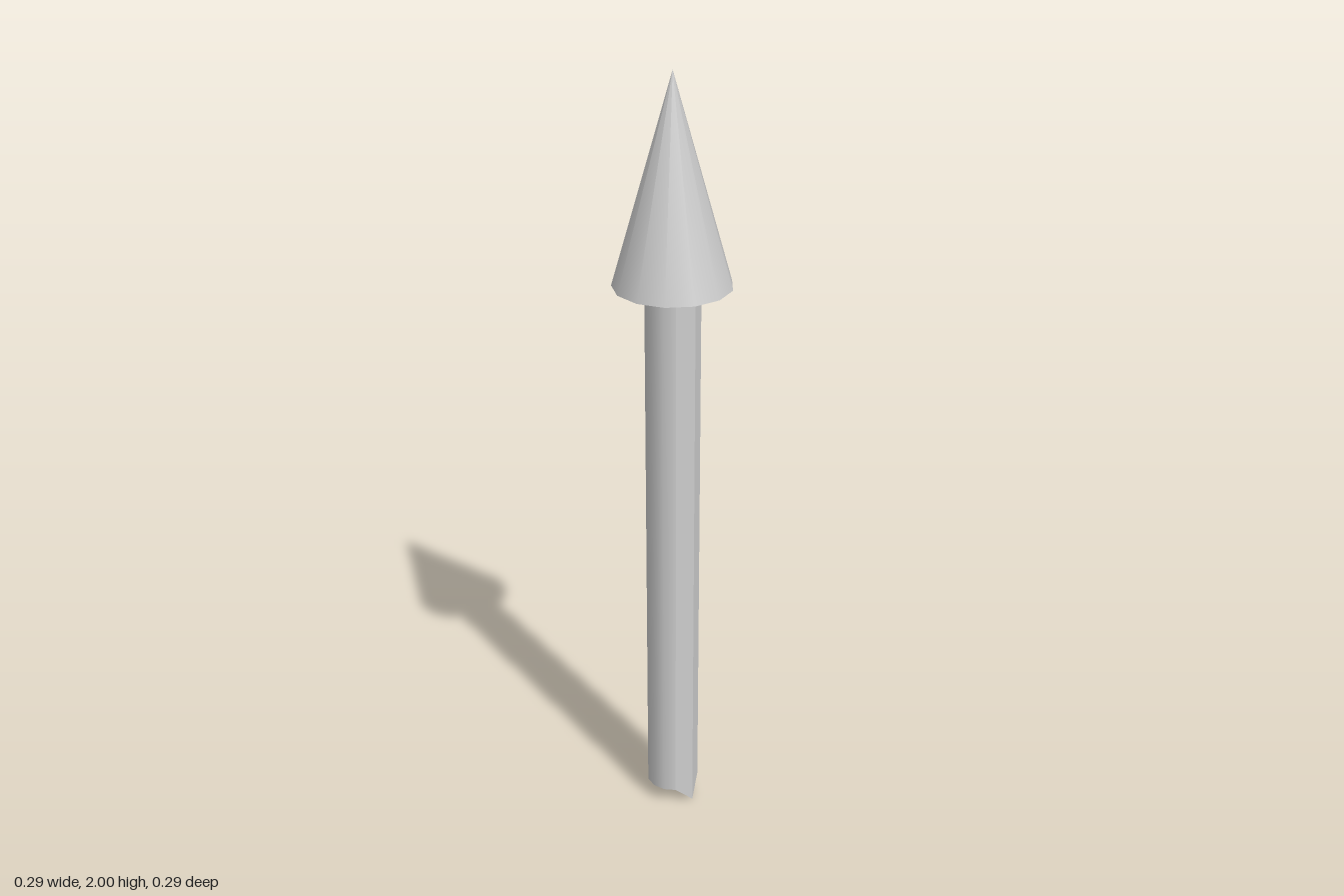
import * as THREE from 'three';

export function createModel() {
  const model = new THREE.Group();
  const r = 0.069, bottom = 0.05, top = 1.49;
  const height = top - bottom, middle = (top + bottom) / 2;

  const add = (name, geometry, y, options = {}) => {
    const material = new THREE.MeshStandardMaterial({ color: 0xcccccc, ...options });
    const mesh = new THREE.Mesh(geometry, material);
    mesh.name = name;
    mesh.position.y = y;
    model.add(mesh);
    return mesh;
  };

  // Pointed head with a closed underside, one corner facing the back
  const head = add('head', new THREE.ConeGeometry(0.146, 2 - top, 13), (2 + top) / 2);
  head.rotation.y = Math.PI;

  // Rounded three quarters of the hollow shaft, open at the bottom
  const round = new THREE.CylinderGeometry(r, r, height, 10, 1, true, Math.PI / 2, Math.PI * 1.5);
  add('shaftRound', round, middle, { side: THREE.DoubleSide });

  // Two flat faces on the front left; their shared corner reaches the ground
  const corner = new THREE.CylinderGeometry(r, r, height, 2, 1, true, 0, Math.PI / 2);
  const p = corner.attributes.position;
  for (let i = 0; i < p.count; i++) {
    if (p.getY(i) < 0 && p.getX(i) > 0.01 && p.getZ(i) > 0.01) p.setY(i, -middle);
  }
  add('shaftCorner', corner, middle, { side: THREE.DoubleSide, flatShading: true });

  return model;
}
